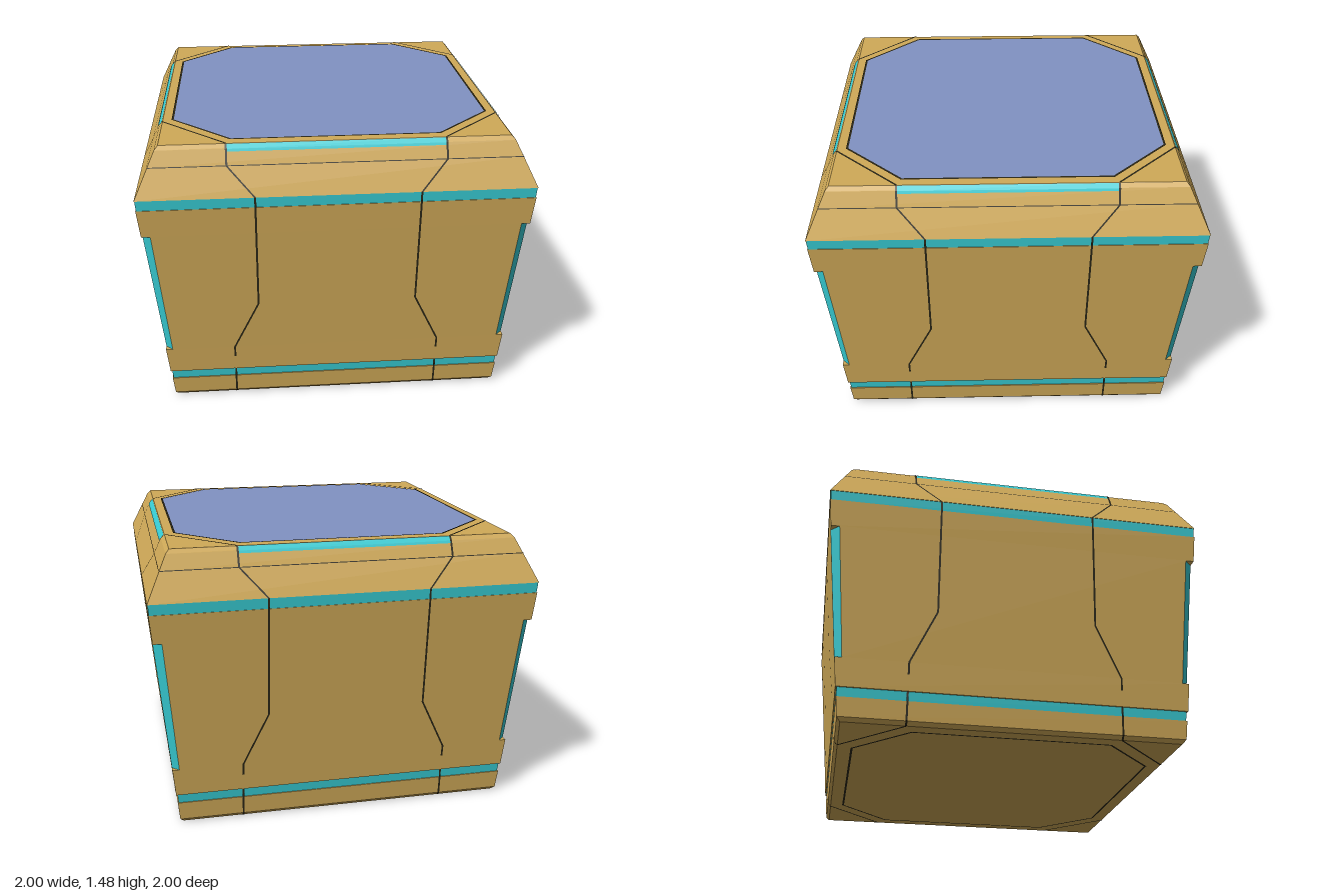
import * as THREE from 'three';

const flat = (name, color) => {
  const m = new THREE.MeshStandardMaterial({ color });
  m.name = name;
  return m;
};

// Side profile: [y, half width, corner cut, colour of the section above]
const LEVELS = [
  [0, 0.865, 0, 'gold'],
  [0.02, 0.883, 0, 'gold'],
  [0.12, 0.893, 0, 'gold'],
  [0.12, 0.888, 0, 'cyan'],
  [0.17, 0.893, 0, 'gold'],
  [0.17, 0.9, 0, 'gold'],
  [0.32, 0.914, 0, 'gold'],
  [0.32, 0.914, 0.036, 'corner'],
  [1.03, 0.982, 0.045, 'gold'],
  [1.03, 0.982, 0, 'gold'],
  [1.18, 0.996, 0, 'gold'],
  [1.18, 0.993, 0, 'cyan'],
  [1.235, 0.997, 0, 'gold'],
  [1.235, 1.0, 0, 'gold'],
  [1.38, 0.931, 0, 'gold'],
  [1.455, 0.895, 0, 'gold'],
  [1.475, 0.877, 0, 'gold'],
];
const TOP = 1.475;

// Half width of the body at a height
function halfAt(y) {
  for (let i = 1; i < LEVELS.length; i++) {
    const [y0, h0] = LEVELS[i - 1], [y1, h1] = LEVELS[i];
    if (y <= y1 && y1 > y0) return h0 + (h1 - h0) * (y - y0) / (y1 - y0);
  }
  return LEVELS[LEVELS.length - 1][1];
}

// Square ring with cut corners, running from +x towards +z
function ring([y, h, c]) {
  const pts = [];
  for (let q = 0; q < 4; q++) {
    for (const [x, z] of [[h, h - c], [h - c, h]]) {
      const p = new THREE.Vector3(x, y, z);
      for (let k = 0; k < q; k++) p.set(-p.z, y, p.x);
      pts.push(p);
    }
  }
  return pts;
}

function fromTriangles(points) {
  const g = new THREE.BufferGeometry().setFromPoints(points);
  g.computeVertexNormals();
  return g;
}

// Faceted shell, sorted by colour
function shell() {
  const out = { gold: [], cyan: [], corner: [] };
  const tri = (list, a, b, c) => {
    const area = b.clone().sub(a).cross(c.clone().sub(a)).length();
    if (area > 1e-7) list.push(a, b, c);
  };
  const rings = LEVELS.map(ring);
  for (let i = 0; i + 1 < rings.length; i++) {
    for (let j = 0; j < 8; j++) {
      const k = (j + 1) % 8, kind = LEVELS[i][3];
      const list = kind === 'corner' ? (j % 2 === 0 ? out.corner : out.gold) : out[kind];
      const [a, b, A, B] = [rings[i][j], rings[i][k], rings[i + 1][j], rings[i + 1][k]];
      tri(list, b, a, A);
      tri(list, b, A, B);
    }
  }
  const last = rings[rings.length - 1];
  for (let j = 0; j < 8; j++) {
    const k = (j + 1) % 8;
    tri(out.gold, new THREE.Vector3(0, TOP, 0), last[k], last[j]);
    tri(out.gold, new THREE.Vector3(0, 0, 0), rings[0][j], rings[0][k]);
  }
  return out;
}

// Thin ribbon lying on the front face; rows are [left x, right x, y]
function ribbon(rows, lift = 0.003) {
  const pts = [];
  for (let i = 0; i + 1 < rows.length; i++) {
    const [l0, r0, y0] = rows[i], [l1, r1, y1] = rows[i + 1];
    const z0 = halfAt(y0) + lift, z1 = halfAt(y1) + lift;
    const a = new THREE.Vector3(l0, y0, z0), b = new THREE.Vector3(r0, y0, z0);
    const c = new THREE.Vector3(r1, y1, z1), d = new THREE.Vector3(l1, y1, z1);
    pts.push(a, b, c, a, c, d);
  }
  return fromTriangles(pts);
}

function octagon(h, c, Type = THREE.Shape) {
  return new Type([[h, -c], [h, c], [c, h], [-c, h], [-h, c], [-h, -c], [-c, -h], [c, -h]]
    .map(([x, y]) => new THREE.Vector2(x, y)));
}

export function createModel() {
  const gold = flat('gold', 0xd0aa58);
  const cyan = flat('cyan', 0x37cbd3);
  const blue = flat('slateBlue', 0x8192c3);
  const dark = flat('darkSeam', 0x2a2616);
  const seam = dark;
  seam.side = THREE.DoubleSide;

  const model = new THREE.Group();
  model.name = 'crate';
  const add = (name, geometry, material, parent = model) => {
    const mesh = new THREE.Mesh(geometry, material);
    mesh.name = name;
    parent.add(mesh);
    return mesh;
  };

  // Body, light bands and corner lights
  const parts = shell();
  add('body', fromTriangles(parts.gold), gold);
  add('lightBands', fromTriangles(parts.cyan), cyan);
  add('cornerLights', fromTriangles(parts.corner), cyan);

  // Seams and top light, repeated on the four sides
  const w = 0.005;
  const path = [[0.547, 0], [0.547, 0.02], [0.547, 0.12], [0.547, 0.17], [0.547, 0.32], [0.413, 0.6],
    [0.413, 1.18], [0.413, 1.235], [0.547, 1.38], [0.547, 1.455], [0.547, TOP]];
  for (let q = 0; q < 4; q++) {
    const side = new THREE.Group();
    side.name = 'side' + (q + 1);
    side.rotation.y = q * Math.PI / 2;
    model.add(side);
    for (const s of [-1, 1]) {
      add('panelSeam', ribbon(path.map(([x, y]) => [s * x - w, s * x + w, y])), seam, side);
    }
    add('lidSeam', ribbon([[-0.93, 0.93, 1.378], [-0.93, 0.93, 1.382]], 0.002), seam, side);
    add('topLight', ribbon([[-0.542, 0.542, 1.443], [-0.542, 0.542, 1.455], [-0.542, 0.542, TOP]], 0.004), cyan, side);

    // Diagonal seams across the corners of the top and the base
    for (const [y, edge] of [[TOP + 0.002, 0.877], [-0.001, 0.865]]) {
      const g = new THREE.PlaneGeometry((edge - 0.547) * Math.SQRT2, 0.01);
      g.rotateX(-Math.PI / 2).rotateY(Math.PI / 4);
      const m = (edge + 0.547) / 2;
      g.translate(m, y, m);
      add('cornerSeam', g, seam, side);
    }
  }

  // Octagonal top panel with its seam
  const panel = add('topPanel', new THREE.ShapeGeometry(octagon(0.825, 0.525)), blue);
  panel.rotation.x = -Math.PI / 2;
  panel.position.y = TOP + 0.002;
  const outline = (name, h, c, y) => {
    const shape = octagon(h + 0.006, c + 0.003);
    shape.holes.push(octagon(h - 0.005, c - 0.002, THREE.Path));
    const mesh = add(name, new THREE.ShapeGeometry(shape), seam);
    mesh.rotation.x = -Math.PI / 2;
    mesh.position.y = y;
  };
  outline('topPanelSeam', 0.825, 0.525, TOP + 0.004);
  outline('basePanelSeam', 0.79, 0.51, -0.001);

  return model;
}
